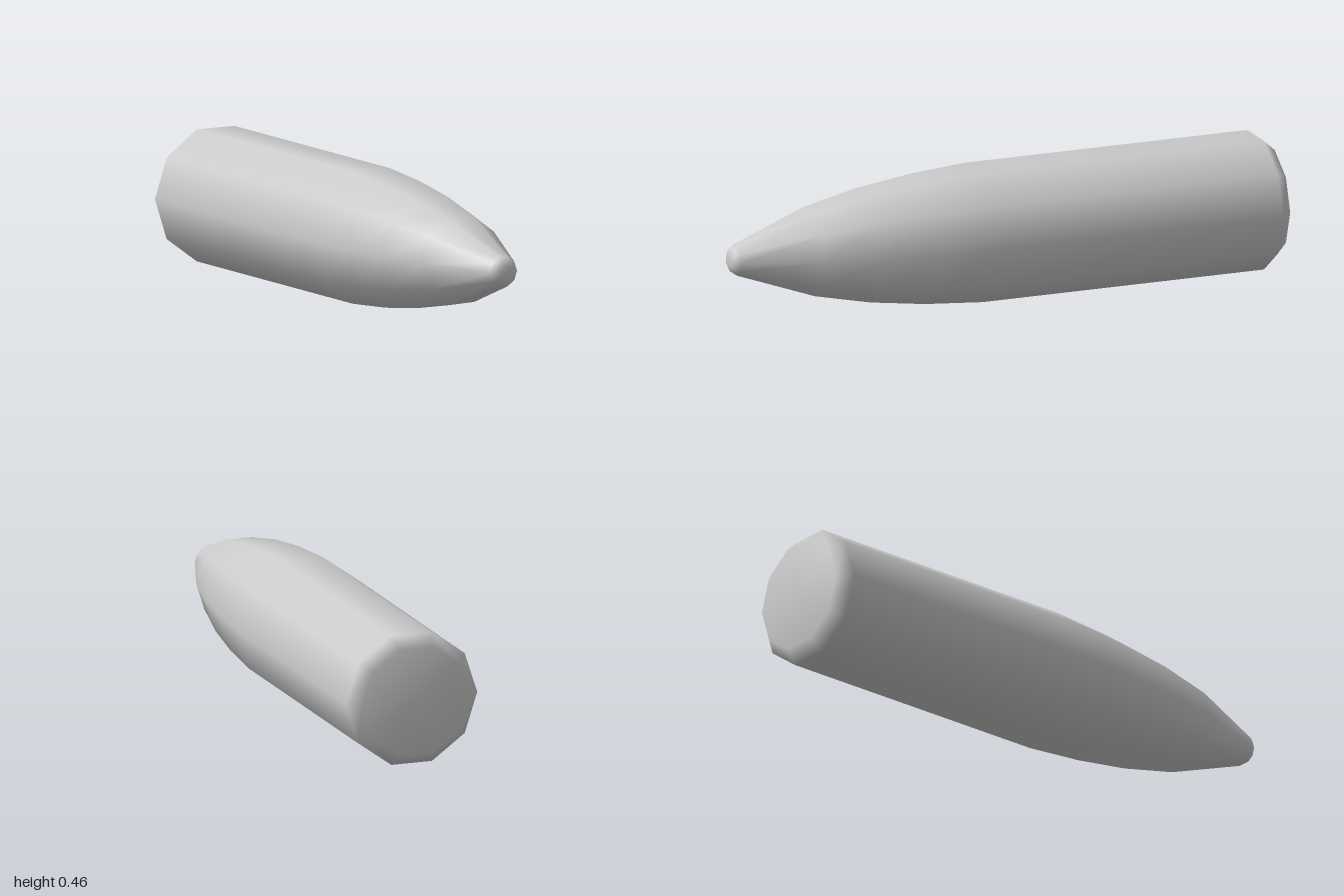
import * as THREE from 'three';

const SIDES = 10;
const RADIUS = 0.24;

// Outline from the flat base to the rounded tip: [radius, z]
const PROFILE = [
  [0, -1], [0.197, -1],                                  // base
  [RADIUS, -0.955], [RADIUS, 0.09],                      // bevel and straight body
  [0.224, 0.3], [0.197, 0.5], [0.154, 0.7], [0.054, 0.975], // tapering nose
  [0.043, 0.99], [0.024, 1], [0, 1],                     // blunt tip
];

export function createModel() {
  const group = new THREE.Group();
  group.name = 'projectile';

  // Ten-sided turned body with smooth normals, corners at left and right
  const points = PROFILE.map(([r, z]) => new THREE.Vector2(r, z));
  const geometry = new THREE.LatheGeometry(points, SIDES, Math.PI / 2);
  geometry.rotateX(Math.PI / 2);

  const body = new THREE.Mesh(geometry, new THREE.MeshStandardMaterial({ color: 0xcccccc }));
  body.name = 'body';
  // Rests on its flat lower side
  body.position.y = RADIUS * Math.sin(Math.PI * 0.4);
  group.add(body);
  return group;
}
